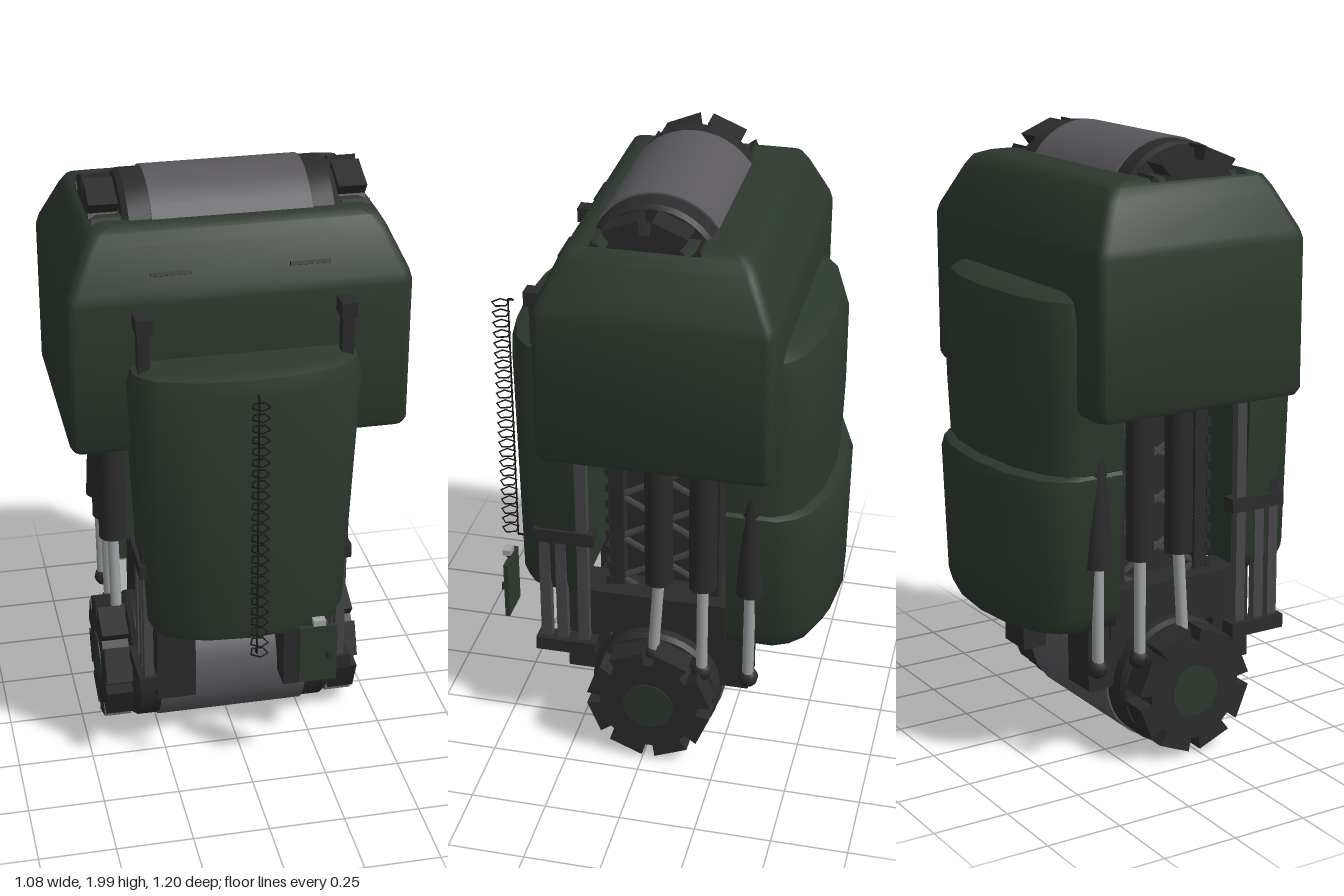
import * as THREE from 'three';
import { toCreasedNormals } from 'three/addons/utils/BufferGeometryUtils.js';

const paint = (name, color) => Object.assign(new THREE.MeshStandardMaterial({ color }), { name });

export function createModel() {
  const root = new THREE.Group();
  root.name = 'mechanicalLeg';
  const green = paint('dark green', 0x2d382d);
  const dark = paint('charcoal', 0x2b2b2c);
  const grey = paint('drum grey', 0x5a585d);
  const rail = paint('rail grey', 0x47474a);
  const steel = paint('piston steel', 0x9fa3a3);
  const black = paint('seam black', 0x191a19);

  const add = (name, geo, mat, x = 0, y = 0, z = 0, parent = root) => {
    const m = new THREE.Mesh(geo, mat);
    m.name = name;
    m.position.set(x, y, z);
    parent.add(m);
    return m;
  };
  // Box from its min and max on each axis
  const box = (name, mat, x0, x1, y0, y1, z0, z1, parent = root) =>
    add(name, new THREE.BoxGeometry(x1 - x0, y1 - y0, z1 - z0), mat,
      (x0 + x1) / 2, (y0 + y1) / 2, (z0 + z1) / 2, parent);
  // Cylinder lying along x
  const xCyl = (r, len, seg = 40) => new THREE.CylinderGeometry(r, r, len, seg).rotateZ(Math.PI / 2);
  // Round or square bar between two points
  const bar = (name, mat, a, b, r, seg = 12, r2 = r, parent = root) => {
    const A = new THREE.Vector3(...a), B = new THREE.Vector3(...b), d = B.clone().sub(A);
    const m = add(name, new THREE.CylinderGeometry(r2, r, d.length(), seg), mat, 0, 0, 0, parent);
    m.position.copy(A).add(B).multiplyScalar(0.5);
    m.quaternion.setFromUnitVectors(new THREE.Vector3(0, 1, 0), d.normalize());
    return m;
  };
  // Closed skin over a stack of level loops, each a list of [x, y, z]
  const loft = (loops, crease) => {
    const n = loops[0].length, pos = loops.flat(2), idx = [];
    for (let i = 0; i < loops.length - 1; i++)
      for (let j = 0; j < n; j++) {
        const k = (j + 1) % n, a = i * n + j, b = i * n + k;
        idx.push(a, b, b + n, a, b + n, a + n);
      }
    const top = (loops.length - 1) * n;
    for (let j = 1; j < n - 1; j++) idx.push(0, j + 1, j, top, top + j, top + j + 1);
    const g = new THREE.BufferGeometry();
    g.setAttribute('position', new THREE.Float32BufferAttribute(pos, 3));
    g.setIndex(idx);
    return toCreasedNormals(g, crease);
  };

  // Hood: rounded rectangle loops drawn in towards the top
  const hoodLoop = ([y, inset]) => {
    const loop = [], w = 0.54 - inset, d = 0.371 - inset, r = 0.03;
    [[-1, 1], [1, 1], [1, -1], [-1, -1]].forEach(([sx, sz], q) => {
      for (let i = 0; i <= 3; i++) {
        const a = Math.PI - (q * Math.PI) / 2 - (i * Math.PI) / 6;
        loop.push([sx * (w - r) + r * Math.cos(a), y, -0.061 + sz * (d - r) + r * Math.sin(a)]);
      }
    });
    return loop;
  };
  add('hood', loft([[1.19, 0.03], [1.195, 0.01], [1.215, 0], [1.69, 0], [1.72, 0.008],
    [1.85, 0.07], [1.885, 0.092], [1.9, 0.13]].map(hoodLoop), 0.7), green);
  for (const s of [-1, 1]) {
    const slit = add('hoodSlit', new THREE.BoxGeometry(0.125, 0.012, 0.012), black, s * 0.215, 1.772, 0.283);
    slit.rotation.x = -0.45;
  }

  // Curved armour pads: levels are [height, half width, depth]
  const pad = (name, inner, levels) => {
    const half = [[1, 0], [1, 0.5], [0.93, 0.67], [0.8, 0.81], [0.47, 0.95]];
    const section = [...half.map(([x, z]) => [-x, z]), [0, 1], ...half.reverse()];
    return add(name, loft(levels.map(([y, w, d]) => section.map(([x, z]) => [x * w, y, inner + z * d])), 0.75), green);
  };
  pad('frontPad', 0.24, [[0.547, 0.27, 0.2], [0.563, 0.305, 0.235], [0.61, 0.325, 0.247],
    [1.43, 0.365, 0.25], [1.485, 0.352, 0.235], [1.5, 0.325, 0.2]]);
  pad('upperBackPad', 0.267, [[0.985, 0.37, 0.24], [1.0, 0.392, 0.29], [1.2, 0.405, 0.295],
    [1.47, 0.41, 0.293], [1.54, 0.4, 0.27], [1.565, 0.37, 0.22]]).rotation.y = Math.PI;
  pad('lowerBackPad', 0.267, [[0.457, 0.31, 0.25], [0.475, 0.345, 0.3], [0.53, 0.365, 0.328],
    [0.95, 0.395, 0.332], [0.985, 0.395, 0.318], [1.0, 0.38, 0.28]]).rotation.y = Math.PI;

  // Thin ringed wire running in front of the front pad
  bar('spineWire', black, [0, 0.55, 0.544], [0, 1.46, 0.544], 0.003, 6);
  for (const y of [0.55, 1.46]) box('spineWireEnd', black, -0.003, 0.003, y - 0.003, y + 0.003, 0.525, 0.545);
  for (let i = 0; i < 24; i++)
    add('spineRing', new THREE.TorusGeometry(0.029, 0.003, 4, 5).rotateZ(Math.PI / 2).rotateX(Math.PI / 2),
      black, 0, 0.57 + i * 0.038, 0.57);

  // Small hanging plate with its button
  box('tagPlate', green, 0.148, 0.272, 0.395, 0.6, 0.498, 0.514);
  box('tagButton', steel, 0.19, 0.23, 0.612, 0.632, 0.5, 0.528);
  box('tagStem', dark, 0.2, 0.22, 0.6, 0.613, 0.503, 0.518);
  box('tagKnob', dark, 0.236, 0.248, 0.485, 0.51, 0.512, 0.53);

  // Joint drums with collars, toothed end caps and hub discs
  const gear = new THREE.Shape();
  for (let i = 0; i < 8; i++) {
    const c = ((i + 0.5) * Math.PI) / 4;
    [[-0.3, 0.165], [-0.29, 0.21], [0.29, 0.21], [0.3, 0.165]].forEach(([da, r], k) => {
      const p = [r * Math.cos(c + da), r * Math.sin(c + da)];
      i + k === 0 ? gear.moveTo(...p) : gear.lineTo(...p);
    });
  }
  gear.closePath();
  const gearGeo = new THREE.ExtrudeGeometry(gear, { depth: 0.09, bevelEnabled: false, steps: 1 })
    .translate(0, 0, -0.045).rotateY(Math.PI / 2);
  const collarGeo = new THREE.LatheGeometry([[0, -0.045], [0.216, -0.045], [0.216, 0.025], [0.205, 0.042], [0, 0.045]]
    .map(([x, y]) => new THREE.Vector2(x, y)), 40);
  const creasedCollar = toCreasedNormals(collarGeo, 0.5).rotateZ(-Math.PI / 2);
  for (const [name, y] of [['ankleJoint', 0.227], ['kneeJoint', 1.777]]) {
    const joint = new THREE.Group();
    joint.name = name;
    joint.position.set(0, y, -0.021);
    root.add(joint);
    add('drum', xCyl(0.222, 0.5), grey, 0, 0, 0, joint);
    for (const s of [-1, 1]) {
      add('collar', creasedCollar, dark, s * 0.295, 0, 0, joint).rotation.y = s < 0 ? Math.PI : 0;
      add('toothedCap', gearGeo, dark, s * 0.39, 0, 0, joint);
      add('hubDisc', xCyl(0.085, 0.006, 32), green, s * 0.436, 0, 0, joint);
    }
  }

  // Core column with rack strips and lattice sides
  box('coreColumn', dark, -0.17, 0.17, 0.39, 1.7, -0.2, 0.14);
  box('coreSkirt', dark, -0.29, 0.29, 0.4, 0.56, -0.25, 0.2);
  for (const s of [-1, 1]) {
    for (const z of [0.13, -0.19]) box('corePost', dark, s * 0.21 - 0.025, s * 0.21 + 0.025, 0.4, 1.25, z - 0.025, z + 0.025);
    for (let i = 0; i < 5; i++) {
      const y = 0.42 + i * 0.16;
      bar('latticeBrace', rail, [s * 0.215, y, 0.12], [s * 0.215, y + 0.16, -0.18], 0.012, 4);
      bar('latticeBrace', rail, [s * 0.215, y, -0.18], [s * 0.215, y + 0.16, 0.12], 0.012, 4);
    }
    for (let i = 0; i < 12; i++) box('rackTooth', dark, s * 0.21 - 0.03, s * 0.21 + 0.03, 0.5 + i * 0.06, 0.53 + i * 0.06, 0.15, 0.165);
  }

  for (const s of [-1, 1]) {
    const side = new THREE.Group();
    side.name = s > 0 ? 'leftSide' : 'rightSide';
    root.add(side);
    const sideBox = (name, mat, x0, x1, ...r) => box(name, mat, Math.min(s * x0, s * x1), Math.max(s * x0, s * x1), ...r, side);

    // Clamps gripping the lower drum front and back
    for (const [z0, z1] of [[0.15, 0.29], [-0.328, -0.19]]) {
      sideBox('clamp', dark, 0.15, 0.28, 0.235, 0.56, z0, z1);
      sideBox('clampFoot', dark, 0.19, 0.25, 0.215, 0.235, z0 + 0.03, z1 - 0.03);
    }

    // Slide rails with brackets
    sideBox('railCap', dark, 0.292, 0.343, 1.62, 1.67, 0.312, 0.385);
    sideBox('outerRail', dark, 0.3, 0.337, 0.8, 1.62, 0.33, 0.37);
    for (const z of [0.35, 0.295, 0.222]) sideBox('guideRail', rail, 0.305, 0.335, 0.37, 1.22, z - 0.018, z + 0.018);
    sideBox('middleBracket', dark, 0.295, 0.347, 0.768, 0.815, 0.18, 0.382);
    sideBox('lowerBracket', dark, 0.295, 0.355, 0.34, 0.387, 0.18, 0.382);

    // Pistons: [top z, bottom z, rod end height, sleeve top radius]
    for (const [zt, zb, end, rt] of [[-0.045, -0.025, 0.41, 0.046], [-0.19, -0.188, 0.36, 0.046], [-0.345, -0.343, 0.36, 0.018]]) {
      bar('pistonSleeve', dark, [s * 0.368, 0.69, zt], [s * 0.368, 1.25, zt], 0.046, 16, rt, side);
      bar('pistonRod', steel, [s * 0.365, end, zb], [s * 0.368, 0.7, zt], 0.019, 12, 0.019, side);
      add('pistonEnd', new THREE.SphereGeometry(0.034, 10, 8), dark, s * 0.36, end - 0.012, zb, side);
    }
  }
  return root;
}
